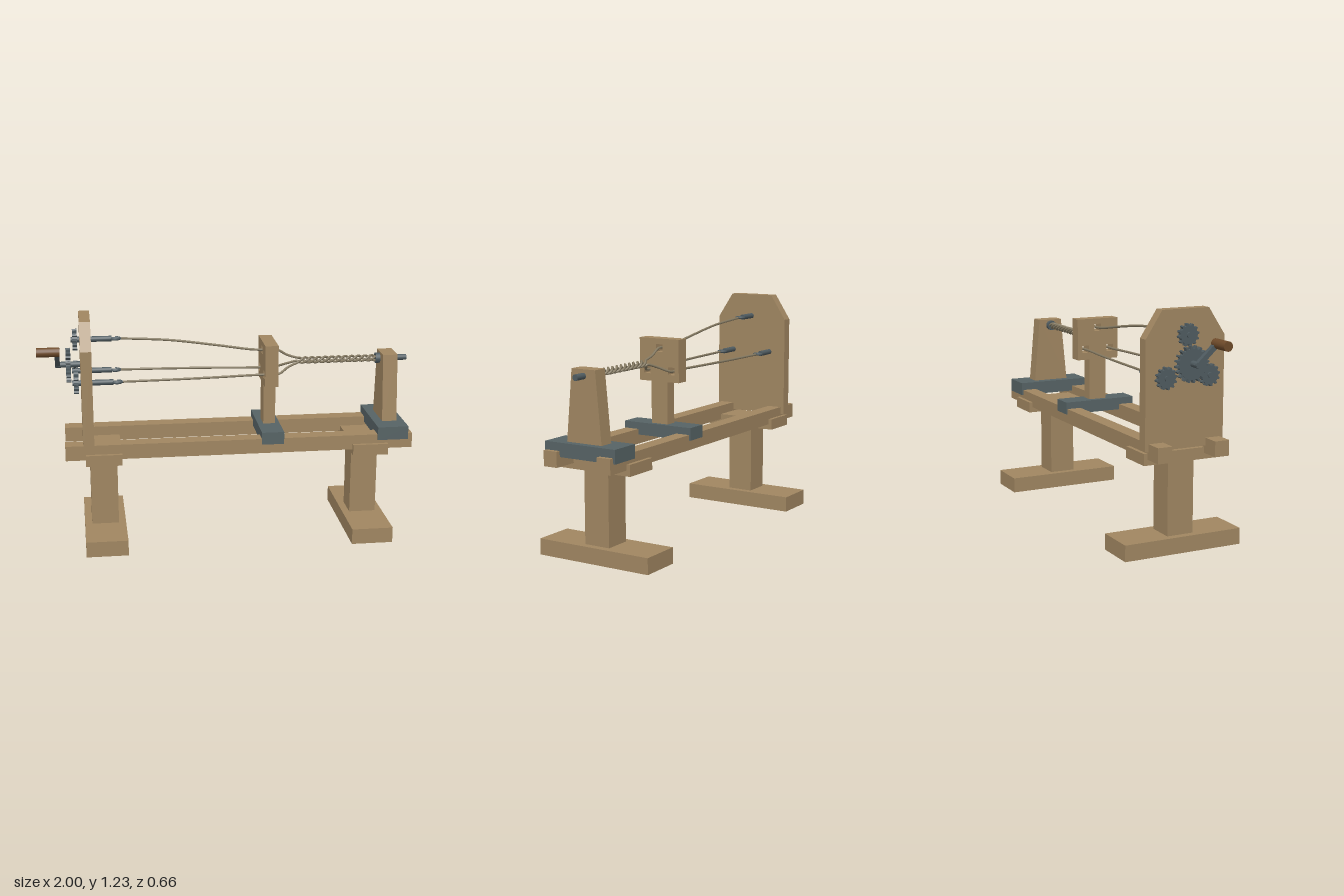
import * as THREE from 'three';

const mat = (name, color, extra = {}) => {
  const m = new THREE.MeshStandardMaterial({ color, ...extra });
  m.name = name;
  return m;
};

export function createModel() {
  const root = new THREE.Group();
  root.name = 'ropeMakingMachine';
  const wood = mat('wood', 0xa08661);
  const slate = mat('slateGrey', 0x566365);
  const iron = mat('iron', 0x4f5b60);
  const grip = mat('darkWood', 0x6e4a2a);
  const hemp = mat('hemp', 0x857a62);

  const add = (name, geo, m) => {
    const mesh = new THREE.Mesh(geo, m);
    mesh.name = name;
    root.add(mesh);
    return mesh;
  };
  // box from its limits on each axis
  const box = (name, m, x0, x1, y0, y1, z0, z1) =>
    add(name, new THREE.BoxGeometry(x1 - x0, y1 - y0, z1 - z0), m)
      .position.set((x0 + x1) / 2, (y0 + y1) / 2, (z0 + z1) / 2);
  // rod running along x
  const rod = (name, m, x0, x1, y, z, r) =>
    add(name, new THREE.CylinderGeometry(r, r, x1 - x0, 16).rotateZ(Math.PI / 2), m)
      .position.set((x0 + x1) / 2, y, z);
  // profile in the z-y plane, extruded from x0 to x1
  const plate = (name, m, shape, x0, x1, y = 0, z = 0) => {
    const geo = new THREE.ExtrudeGeometry(shape, { depth: x1 - x0, bevelEnabled: false });
    add(name, geo.rotateY(Math.PI / 2), m).position.set(x0, y, z);
  };
  const polygon = pts => new THREE.Shape(pts.map(p => new THREE.Vector2(...p)));

  // two trestles
  for (const x of [-0.668, 0.768]) {
    box('trestleFoot', wood, x - 0.112, x + 0.112, 0, 0.085, -0.33, 0.33);
    box('trestlePost', wood, x - 0.073, x + 0.073, 0.085, 0.475, -0.073, 0.073);
    box('trestleCap', wood, x - 0.096, x + 0.096, 0.47, 0.53, -0.22, 0.22);
  }

  // bed rails
  for (const s of [-1, 1])
    box('bedRail', wood, -0.87, 1, 0.5, 0.58, s * 0.16 - 0.04, s * 0.16 + 0.04);

  // headstock board with clipped top corners
  plate('headBoard', wood, polygon([[-0.22, 0.54], [0.22, 0.54], [0.22, 1.095],
    [0.13, 1.233], [-0.13, 1.233], [-0.22, 1.095]]), -0.775, -0.717);

  // gears
  const gear = (r, teeth) => {
    const pts = [];
    for (let i = 0; i < teeth; i++)
      for (const [f, k] of [[0, 0.82], [0.4, 0.82], [0.55, 1], [0.85, 1]]) {
        const a = (i + f) / teeth * Math.PI * 2;
        pts.push([Math.cos(a) * r * k, Math.sin(a) * r * k]);
      }
    return polygon(pts);
  };
  plate('driveGear', iron, gear(0.092, 20), -0.85, -0.825, 0.97, 0);

  // three spindles, each with a pinion and an open hook
  const spindles = [[1.108, 0], [0.903, 0.12], [0.903, -0.12]];
  for (const [y, z] of spindles) {
    plate('pinion', iron, gear(0.057, 12), -0.812, -0.787, y, z);
    rod('spindle', iron, -0.82, -0.605, y, z, 0.015);
    const hook = add('spindleHook',
      new THREE.TorusGeometry(0.023, 0.007, 8, 20, Math.PI * 1.5), iron);
    hook.rotation.set(Math.PI / 2, 0, -Math.PI / 2);
    hook.position.set(-0.585, y, z);
  }

  // crank
  rod('crankShaft', iron, -0.905, -0.775, 0.973, 0, 0.016);
  const rise = 0.097, reach = 0.105;
  const arm = add('crankArm',
    new THREE.BoxGeometry(0.025, Math.hypot(rise, reach) + 0.025, 0.026), iron);
  arm.rotation.x = Math.atan2(reach, rise);
  arm.position.set(-0.894, 0.973 + rise / 2, reach / 2);
  rod('crankHandle', grip, -1, -0.88, 0.973 + rise, reach, 0.025);

  // sliding carriage with the strand guide
  box('carriageBase', slate, 0.175, 0.295, 0.55, 0.617, -0.207, 0.207);
  box('guidePost', wood, 0.205, 0.27, 0.617, 0.845, -0.05, 0.05);
  const guide = polygon([[-0.122, 0.843], [0.122, 0.843], [0.122, 1.07], [-0.122, 1.07]]);
  const guideHoles = [[1.02, 0], [0.902, 0.075], [0.902, -0.075]];
  const h = 0.02;
  for (const [y, z] of guideHoles)
    guide.holes.push(new THREE.Path([[-h, -h], [-h, h], [h, h], [h, -h]]
      .map(([a, b]) => new THREE.Vector2(z + a, y + b))));
  plate('strandGuide', wood, guide, 0.202, 0.273);

  // tailstock
  box('tailBase', slate, 0.808, 0.975, 0.55, 0.622, -0.21, 0.21);
  plate('tailPost', wood, polygon([[-0.104, 0.62], [0.104, 0.62],
    [0.07, 0.987], [-0.07, 0.987]]), 0.855, 0.935);
  rod('tailShaft', iron, 0.83, 1, 0.954, 0, 0.016);
  rod('tailCollar', iron, 0.828, 0.852, 0.954, 0, 0.028);

  // three strands, laid together beyond the guide
  const x0 = 0.4, x1 = 0.84, turns = 4, lay = 0.014;
  spindles.forEach(([y, z], k) => {
    const [gy, gz] = guideHoles[k];
    const mix = (t, u) => [y + (gy - y) * t, z + (gz - z) * u];
    const pts = [[-0.56, y, z], [-0.3, ...mix(0.2, 0.2)], [-0.05, ...mix(0.6, 0.55)],
      [0.14, ...mix(0.94, 0.95)], [0.21, gy, gz], [0.28, gy, gz],
      [0.34, (gy + 0.955) / 2, gz / 2]];
    const phase = [Math.PI / 2, -Math.PI / 6, Math.PI * 7 / 6][k];
    const steps = turns * 12;
    for (let i = 0; i <= steps; i++) {
      const a = phase + i / 12 * Math.PI * 2;
      pts.push([x0 + (x1 - x0) * i / steps, 0.955 + Math.sin(a) * lay, Math.cos(a) * lay]);
    }
    const path = new THREE.CatmullRomCurve3(pts.map(p => new THREE.Vector3(...p)));
    add('ropeStrand', new THREE.TubeGeometry(path, 260, 0.0065, 8), hemp);
    // whipped end where the strand meets its hook
    rod('strandEye', iron, -0.605, -0.555, y, z, 0.007);
  });

  return root;
}
